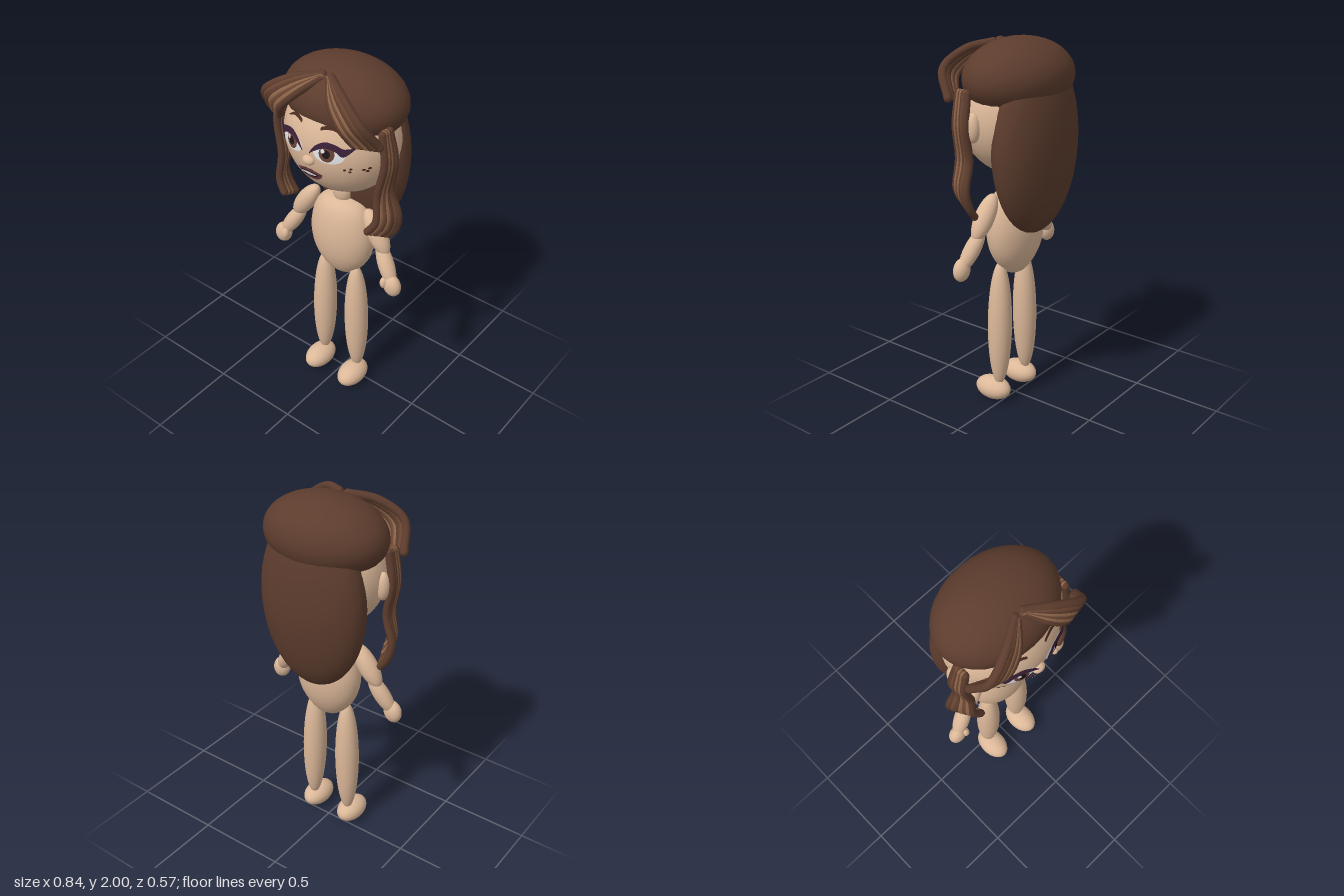
import * as THREE from 'three';
import { mergeGeometries } from 'three/addons/utils/BufferGeometryUtils.js';

const V = (x, y, z) => new THREE.Vector3(x, y, z);
const mat = (name, color, side = THREE.FrontSide) => {
  const m = new THREE.MeshStandardMaterial({ color, side });
  m.name = name;
  return m;
};
const HEAD = { c: V(0, 1.61, 0), r: V(0.31, 0.305, 0.26) };

export function createModel() {
  const skin = mat('skin', 0xdcb899);
  const hair = mat('darkBrownHair', 0x5c3c2d);
  const midHair = mat('midBrownHair', 0x6b4632);
  const lightHair = mat('lightBrownHair', 0x8d6549);
  const D = THREE.DoubleSide;
  const lidMat = mat('purpleLid', 0x3a2038, D);
  const white = mat('white', 0xe6e8ec, D);
  const irisMat = mat('brownIris', 0x6b4034, D);
  const black = mat('nearBlack', 0x1d1418, D);
  const lipMat = mat('lips', 0x6b3a40, D);
  const brown = mat('browBrown', 0x4a2c22, D);

  const model = new THREE.Group();
  const add = (name, geometry, material) => {
    const m = new THREE.Mesh(geometry, material);
    m.name = name;
    model.add(m);
    return m;
  };
  const ellipsoid = (name, c, r, material) => {
    const m = add(name, new THREE.SphereGeometry(1, 32, 24), material);
    m.position.copy(c);
    m.scale.copy(r);
    return m;
  };
  // Ellipsoid stretched between two end points
  const limb = (name, a, b, r) => {
    const m = ellipsoid(name, a.clone().lerp(b, 0.5), V(r, a.distanceTo(b) / 2, r), skin);
    m.quaternion.setFromUnitVectors(V(0, 1, 0), b.clone().sub(a).normalize());
  };
  // Hair strand: tube with rounded ends
  const strand = (name, pts, r, material) => {
    const ends = [pts[0], pts[pts.length - 1]].map(p =>
      new THREE.SphereGeometry(r, 10, 8).translate(p.x, p.y, p.z));
    const tube = new THREE.TubeGeometry(new THREE.CatmullRomCurve3(pts), 28, r, 10);
    add(name, mergeGeometries([tube, ...ends]), material);
  };
  // Thin face detail between an upper and a lower line, laid on the curve of the head
  const patch = (name, s, upper, lower, lift, material) => {
    const curve = pts => new THREE.SplineCurve(pts.map(p => new THREE.Vector2(p[0] * s, p[1])));
    const [top, bottom] = (s > 0 ? [upper, lower] : [lower, upper]).map(curve);
    const n = 20, m = 4, pos = [], idx = [];
    for (let i = 0; i <= n; i++) for (let j = 0; j <= m; j++) {
      const p = bottom.getPoint(i / n).lerp(top.getPoint(i / n), j / m);
      const q = 1 - (p.x / HEAD.r.x) ** 2 - ((p.y - HEAD.c.y) / HEAD.r.y) ** 2;
      pos.push(p.x, p.y, HEAD.r.z * Math.sqrt(Math.max(q, 0)) + lift);
      if (i < n && j < m) {
        const a = i * (m + 1) + j, b = a + m + 1;
        idx.push(a, b, a + 1, b, b + 1, a + 1);
      }
    }
    const g = new THREE.BufferGeometry();
    g.setAttribute('position', new THREE.Float32BufferAttribute(pos, 3));
    g.setIndex(idx);
    g.computeVertexNormals();
    add(name, g, material);
  };
  const oval = (name, s, x, y, rx, ry, lift, material) => {
    const arc = k => Array.from({ length: 9 }, (_, i) => {
      const a = Math.PI * (1 - i / 8);
      return [x + rx * Math.cos(a), y + k * (ry * Math.sin(a) + 0.0003)];
    });
    patch(name, s, arc(1), arc(-1), lift, material);
  };

  // Head, neck and torso
  ellipsoid('head', HEAD.c, HEAD.r, skin);
  ellipsoid('nose', V(0, 1.575, 0.262), V(0.034, 0.025, 0.024), skin);
  ellipsoid('neck', V(0, 1.27, 0), V(0.056, 0.085, 0.05), skin);
  const outline = new THREE.SplineCurve([[0, 0.74], [0.065, 0.757], [0.13, 0.82], [0.173, 0.9],
    [0.19, 1], [0.178, 1.1], [0.145, 1.18], [0.09, 1.222], [0, 1.235]].map(p => new THREE.Vector2(...p)));
  const body = outline.getPoints(32);
  body.forEach(p => { p.x = Math.max(p.x, 0); });
  add('torso', new THREE.LatheGeometry(body, 36), skin).scale.z = 0.67;

  // Hair cap and long back hair
  ellipsoid('hairCap', V(0, 1.805, -0.025), V(0.335, 0.195, 0.25), hair);
  ellipsoid('backHair', V(0, 1.48, -0.13), V(0.305, 0.48, 0.157), hair);

  const tones = [hair, midHair, hair, lightHair, midHair, lightHair, hair];
  for (const s of [1, -1]) {
    const side = s > 0 ? 'left' : 'right';

    // Arm, hand, leg, foot and ear
    limb(side + 'UpperArm', V(s * 0.162, 1.22, 0.01), V(s * 0.305, 1.0, 0.025), 0.052);
    limb(side + 'Forearm', V(s * 0.25, 1.055, 0.015), V(s * 0.375, 0.85, 0.06), 0.043);
    ellipsoid(side + 'Hand', V(s * 0.37, 0.855, 0.06), V(0.05, 0.062, 0.04), skin).rotation.z = s * 0.25;
    ellipsoid(side + 'Thumb', V(s * 0.335, 0.872, 0.085), V(0.02, 0.033, 0.022), skin);
    ellipsoid(side + 'Leg', V(s * 0.111, 0.46, 0.02), V(0.066, 0.365, 0.066), skin).rotation.z = s * 0.02;
    ellipsoid(side + 'Foot', V(s * 0.12, 0.064, 0.062), V(0.072, 0.064, 0.108), skin);
    ellipsoid(side + 'Ear', V(s * 0.31, 1.59, 0.018), V(0.035, 0.075, 0.036), skin);

    // Fringe strands, from the outermost to the one nearest the face
    const outer = [V(0.025, 1.962, 0.12), V(0.15, 1.935, 0.195), V(0.28, 1.85, 0.232), V(0.335, 1.722, 0.155)];
    const inner = [V(0.025, 1.95, 0.13), V(0.1, 1.885, 0.215), V(0.18, 1.8, 0.24), V(0.225, 1.722, 0.205)];
    for (let i = 0; i < 7; i++) {
      const pts = outer.map((p, k) => p.clone().lerp(inner[k], i / 6));
      pts.forEach(p => { p.x *= s; });
      strand(side + 'FringeStrand', pts, 0.022, tones[i]);
    }

    // Wavy side lock, strands ordered from back to front
    for (let i = 0; i < 7; i++) {
      const t = i / 6;
      strand(side + 'LockStrand', [
        V(s * 0.315, 1.755, 0.05 + 0.055 * t),
        V(s * (0.345 - 0.01 * t), 1.6, 0.04 + 0.07 * t),
        V(s * (0.325 - 0.02 * t), 1.42, 0.035 + 0.085 * t),
        V(s * (0.368 - 0.055 * t), 1.28, 0.025 + 0.11 * t),
        V(s * (0.35 - 0.055 * t), 1.19 + 0.05 * t, 0.018 + 0.125 * t),
        V(s * (0.312 - 0.04 * t), 1.135 + 0.075 * t, 0.018 + 0.13 * t),
      ], 0.02, tones[i]);
    }

    // Eye, lid with lashes, and brow
    oval(side + 'EyeWhite', s, 0.11, 1.638, 0.075, 0.045, 0.01, white);
    oval(side + 'Iris', s, 0.105, 1.645, 0.038, 0.042, 0.014, irisMat);
    oval(side + 'Pupil', s, 0.105, 1.645, 0.019, 0.022, 0.017, black);
    oval(side + 'Glint', s, 0.105 - s * 0.016, 1.66, 0.01, 0.011, 0.02, white);
    patch(side + 'Lid', s,
      [[0.02, 1.635], [0.05, 1.68], [0.1, 1.708], [0.15, 1.7], [0.185, 1.685], [0.232, 1.694]],
      [[0.021, 1.63], [0.052, 1.655], [0.1, 1.678], [0.15, 1.668], [0.185, 1.645], [0.23, 1.69]], 0.023, lidMat);
    patch(side + 'Brow', s,
      [[0.055, 1.763], [0.085, 1.773], [0.12, 1.772], [0.165, 1.742]],
      [[0.057, 1.748], [0.085, 1.756], [0.12, 1.757], [0.163, 1.739]], 0.012, brown);

    // Freckles
    for (const [x, y] of [[0.18, 1.565], [0.2, 1.555], [0.205, 1.572], [0.25, 1.567], [0.268, 1.572], [0.26, 1.556]])
      oval(side + 'Freckle', s, x, y, 0.006, 0.006, 0.006, brown);
  }

  // Mouth with teeth and tongue
  patch('lips', 1,
    [[-0.075, 1.512], [-0.04, 1.522], [-0.014, 1.531], [0, 1.526], [0.014, 1.531], [0.04, 1.522], [0.075, 1.512]],
    [[-0.075, 1.509], [-0.058, 1.482], [-0.03, 1.464], [0, 1.46], [0.03, 1.464], [0.058, 1.482], [0.075, 1.509]],
    0.012, lipMat);
  patch('mouthOpening', 1, [[-0.055, 1.506], [0, 1.512], [0.055, 1.506]],
    [[-0.055, 1.504], [-0.03, 1.484], [0, 1.478], [0.03, 1.484], [0.055, 1.504]], 0.016, black);
  patch('teeth', 1, [[-0.046, 1.505], [0, 1.511], [0.046, 1.505]],
    [[-0.04, 1.497], [0, 1.493], [0.04, 1.497]], 0.019, white);
  oval('tongue', 1, 0, 1.484, 0.025, 0.005, 0.019, lipMat);

  return model;
}
